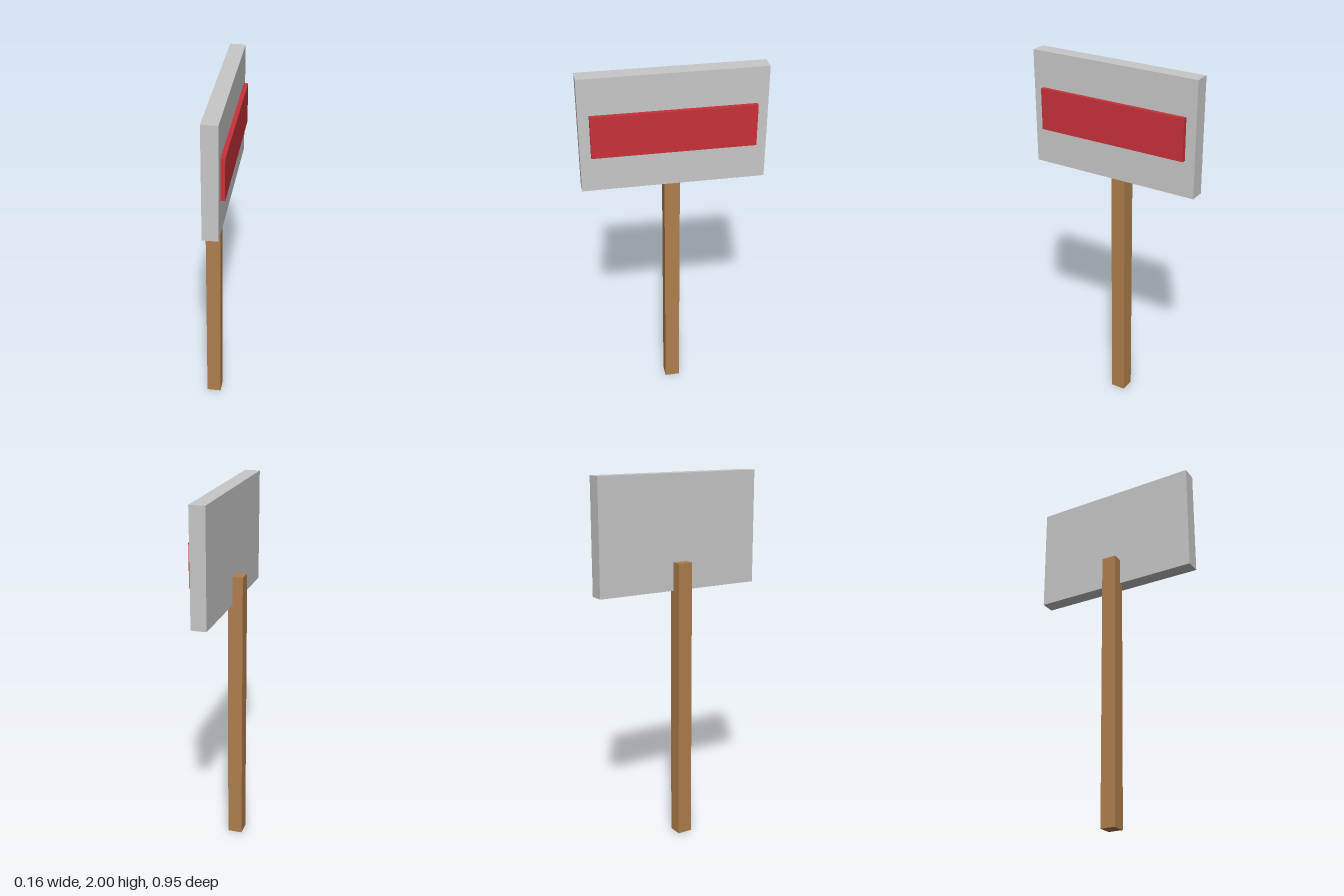
import * as THREE from 'three';

const material = (name, color) => {
  const m = new THREE.MeshStandardMaterial({ color });
  m.name = name;
  return m;
};

// Box given by its x and y ranges and its full depth, centred on z = 0
function box(name, mat, [x0, x1], [y0, y1], depth) {
  const mesh = new THREE.Mesh(new THREE.BoxGeometry(x1 - x0, y1 - y0, depth), mat);
  mesh.position.set((x0 + x1) / 2, (y0 + y1) / 2, 0);
  mesh.name = name;
  return mesh;
}

export function createModel() {
  const group = new THREE.Group();
  group.name = 'signpost';

  const wood = material('wood', 0xb07f4d);
  const grey = material('light grey', 0xc8c8c8);
  const red = material('red', 0xc83239);

  group.add(
    // Wooden post, let partly into the back of the board
    box('post', wood, [-0.08, 0], [0, 1.54], 0.082),
    // Sign board facing +x
    box('board', grey, [-0.025, 0.057], [1.388, 2], 0.95),
    // Raised red bar on the board
    box('bar', red, [0.057, 0.08], [1.583, 1.807], 0.84),
  );
  return group;
}
